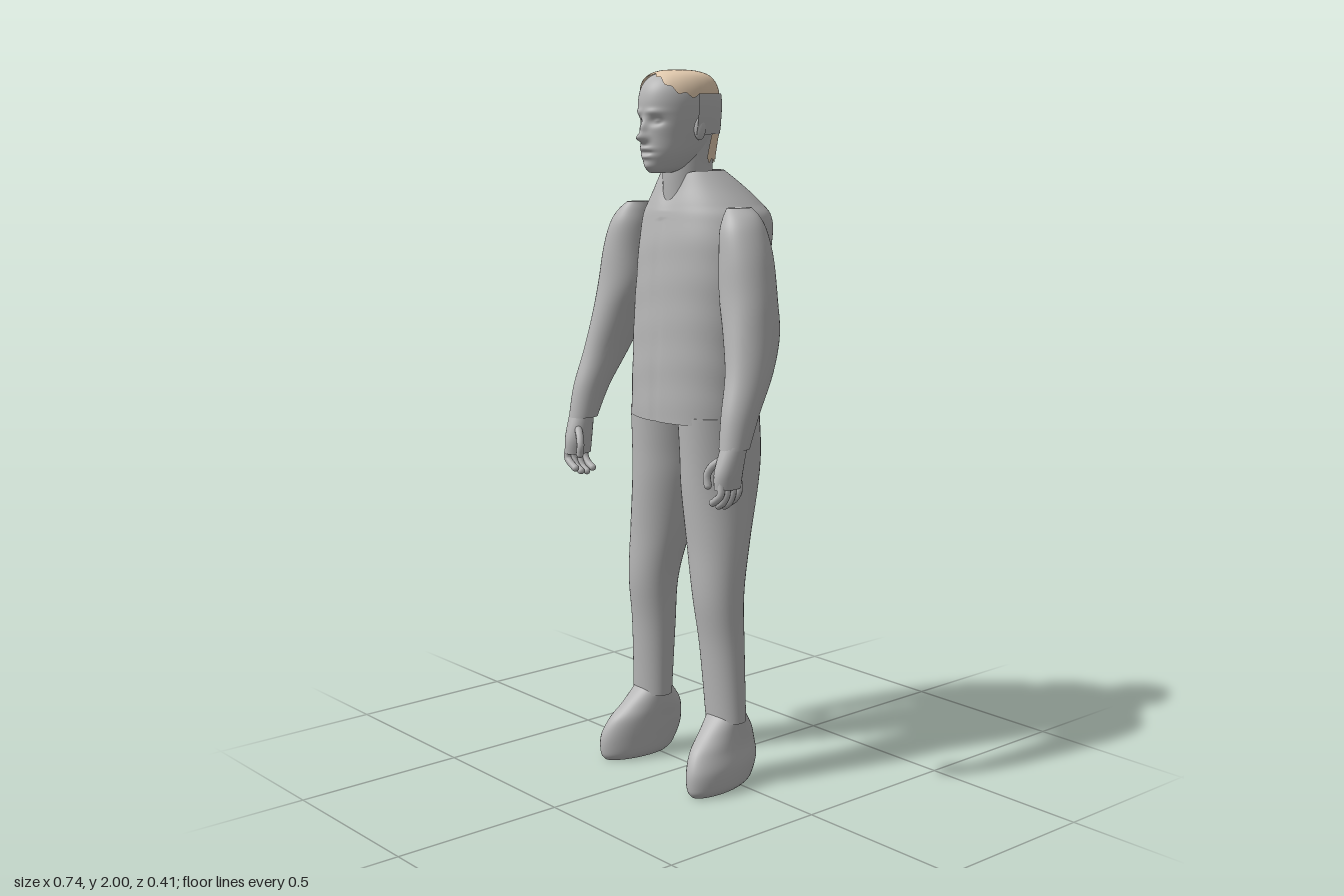
import * as THREE from 'three';

const grey = new THREE.MeshStandardMaterial({ color: 0xb6b6b6, side: THREE.DoubleSide });
grey.name = 'plain grey';
const tan = new THREE.MeshStandardMaterial({ color: 0xe2caae, side: THREE.DoubleSide });
tan.name = 'hair tan';

// Smooth sample of a ring table; u runs from 0 to rings.length - 1
function sample(rings, u) {
  const n = rings.length - 1;
  const i = Math.min(Math.floor(u), n - 1), t = u - i;
  const at = k => rings[Math.max(0, Math.min(n, k))];
  return rings[i].map((b, k) => {
    const a = at(i - 1)[k], c = at(i + 1)[k], d = at(i + 2)[k];
    return b + 0.5 * t * (c - a + t * (2 * a - 5 * b + 4 * c - d + t * (3 * (b - c) + d - a)));
  });
}

// Point on a body whose rings are [y, centre x, radius x, centre z, radius z]
function pointOn(rings, u, angle, side = 1, offset = 0, power = 1) {
  const [y, cx, rx, cz, rz] = sample(rings, u);
  const s = Math.sin(angle), c = Math.cos(angle);
  const bend = v => Math.sign(v) * Math.abs(v) ** power;
  return new THREE.Vector3(side * cx + (rx + offset) * bend(s), y, cz + (rz + offset) * bend(c));
}

function gridGeometry(pts, idx) {
  const g = new THREE.BufferGeometry().setFromPoints(pts);
  g.setIndex(idx);
  g.computeVertexNormals();
  return g;
}

// Closed body through rings given from bottom to top
function loft(rings, { rows = 40, segs = 40, side = 1, power = 1, tweak, capTop = true } = {}) {
  const pts = [], idx = [];
  for (let i = 0; i <= rows; i++) {
    for (let j = 0; j < segs; j++) {
      const p = pointOn(rings, i / rows * (rings.length - 1), j / segs * Math.PI * 2, side, 0, power);
      if (tweak) tweak(p);
      pts.push(p);
    }
  }
  for (let i = 0; i < rows; i++) {
    for (let j = 0; j < segs; j++) {
      const k = (j + 1) % segs, a = i * segs + j, b = i * segs + k;
      idx.push(a, b, b + segs, a, b + segs, a + segs);
    }
  }
  // separate cap vertices keep the rims crisp
  for (const top of capTop ? [false, true] : [false]) {
    const from = top ? rows * segs : 0, base = pts.length;
    const centre = new THREE.Vector3();
    for (let j = 0; j < segs; j++) {
      pts.push(pts[from + j].clone());
      centre.addScaledVector(pts[from + j], 1 / segs);
    }
    pts.push(centre);
    for (let j = 0; j < segs; j++) {
      const a = base + j, b = base + (j + 1) % segs;
      idx.push(base + segs, top ? a : b, top ? b : a);
    }
  }
  return gridGeometry(pts, idx);
}

// Thin layer lying over part of a body
function patch(rings, from, to, low, high, offset, lift = 0) {
  const rows = 16, segs = 96, pts = [], idx = [], w = segs + 1;
  for (let i = 0; i <= rows; i++) {
    for (let j = 0; j <= segs; j++) {
      const angle = from + (to - from) * j / segs, lo = low(angle);
      const p = pointOn(rings, lo + (high - lo) * i / rows, angle, 1, offset);
      p.y += lift;
      pts.push(p);
    }
  }
  for (let i = 0; i < rows; i++) {
    for (let j = 0; j < segs; j++) {
      const a = i * w + j;
      idx.push(a, a + 1, a + 1 + w, a, a + 1 + w, a + w);
    }
  }
  return gridGeometry(pts, idx);
}

const HEAD = [
  [1.725, .006, .025, .115, .035], [1.74, .006, .045, .09, .07], [1.775, .006, .064, .07, .103],
  [1.82, .006, .076, .055, .118], [1.87, .006, .084, .053, .122], [1.92, .006, .087, .053, .122],
  [1.955, .006, .081, .052, .112], [1.98, .006, .064, .052, .088], [1.992, .006, .035, .055, .05],
  [1.995, .006, .003, .055, .004]];
const NECK = [[1.64, .006, .062, .02, .07], [1.75, .006, .062, .02, .074], [1.84, .006, .07, .004, .07]];
const TORSO = [
  [1.04, 0, .204, -.01, .15], [1.2, .003, .206, -.015, .153], [1.4, .01, .208, -.025, .155],
  [1.52, .012, .206, -.038, .16], [1.6, .01, .195, -.048, .158], [1.64, .008, .17, -.04, .14],
  [1.69, .006, .13, -.02, .105], [1.73, .005, .095, 0, .074]];
const ARM = [
  [1.01, .329, .038, .135, .044], [1.1, .323, .045, .108, .057], [1.2, .309, .054, .065, .072],
  [1.3, .286, .066, .036, .084], [1.4, .263, .077, .027, .08], [1.5, .25, .07, .023, .077],
  [1.57, .236, .058, .021, .07], [1.61, .225, .043, .018, .056], [1.635, .212, .024, .015, .04]];
const LEG = [
  [.19, .163, .066, .013, .05], [.4, .151, .069, .018, .06], [.55, .142, .075, .025, .072],
  [.7, .125, .089, .01, .09], [.85, .108, .097, -.01, .117], [.95, .105, .099, -.015, .125],
  [1.06, .103, .1, -.01, .125]];
const SHOE = [
  [0, .022, .042, .065, .105], [.02, .022, .056, .06, .122], [.07, .02, .06, .048, .134],
  [.12, .012, .056, .036, .122], [.16, .008, .055, .02, .095], [.21, .006, .054, .012, .052]];
const PALM = [[.905, .327, .026, .157, .042], [.95, .328, .031, .154, .044], [1.02, .332, .034, .138, .037]];

// Facial relief: [x, y, depth, width, height], mirrored in x
const FACE = [
  [0, 1.818, .026, .013, .012], [0, 1.842, .014, .01, .02], [.034, 1.862, -.013, .017, .011],
  [.03, 1.888, .005, .025, .008], [0, 1.79, .006, .025, .006], [0, 1.779, -.007, .022, .005],
  [0, 1.768, .005, .02, .006], [0, 1.742, .008, .02, .012], [.034, 1.863, .006, .008, .005]];
function sculptFace(p) {
  if (p.z < .07) return;
  const x = Math.abs(p.x - .006), y = p.y;
  for (const [fx, fy, depth, w, h] of FACE) {
    p.z += depth * Math.exp(-(((x - fx) / w) ** 2) - ((y - fy) / h) ** 2);
  }
}

// Cloth creases and the dip at the front of the collar
function creaseVest(p) {
  const k = 1 + .007 * Math.sin(p.y * 38 + p.x * 21) * Math.sin(p.x * 31 - p.y * 17 + p.z * 23);
  p.x *= k;
  p.z *= k;
  if (p.z > 0) {
    if (p.y < 1.6) p.z -= .004 * Math.exp(-((p.x / .008) ** 2));
    if (p.y > 1.62) p.y -= .05 * Math.exp(-((p.x / .04) ** 2)) * (p.y - 1.62) / .11;
  }
}

export function createModel() {
  const model = new THREE.Group();
  model.name = 'standingMan';
  const add = (name, geometry, material = grey, parent = model) => {
    const mesh = new THREE.Mesh(geometry, material);
    mesh.name = name;
    parent.add(mesh);
    return mesh;
  };

  add('vest', loft(TORSO, { rows: 80, segs: 96, power: .93, tweak: creaseVest, capTop: false }));
  add('neck', loft(NECK));
  add('head', loft(HEAD, { rows: 120, segs: 128, tweak: sculptFace }));

  // Hair on the crown and nape, with a plain band round the back of the skull
  const hairline = a => 5.1 + 2 * Math.max(0, Math.cos(a)) ** 3 + .14 * Math.sin(a * 17);
  add('crownHair', patch(HEAD, 0, Math.PI * 2, hairline, 9, .004, .005), tan);
  add('napeHair', patch(NECK, 1.7, Math.PI * 2 - 1.7, a => 1.05 + .06 * Math.sin(a * 23), 2, .006), tan);
  add('backBand', patch(HEAD, 1.5, Math.PI * 2 - 1.5, () => 3.15, 5.4, .01));

  for (const side of [1, -1]) {
    const label = side > 0 ? 'left' : 'right';

    const ear = add(label + 'Ear', new THREE.SphereGeometry(1, 20, 14));
    ear.scale.set(.008, .03, .017);
    ear.position.set(.006 + side * .085, 1.842, .05);
    ear.rotation.y = -side * .3;

    add(label + 'Arm', loft(ARM, { side }));
    add(label + 'Leg', loft(LEG, { side }));

    // Shoe with the toe turned out
    const shoe = add(label + 'Shoe', loft(SHOE, { side }));
    shoe.position.x = side * .156;
    shoe.rotation.y = side * .12;

    // Hand with curled fingers
    const hand = new THREE.Group();
    hand.name = label + 'Hand';
    model.add(hand);
    add('palm', loft(PALM, { rows: 12, segs: 24, side }), grey, hand);
    const finger = (name, path, r) => {
      const pts = path.map(([x, y, z]) => new THREE.Vector3(side * x, y, z));
      add(name, new THREE.TubeGeometry(new THREE.CatmullRomCurve3(pts), 10, r, 10), grey, hand);
      add(name + 'Tip', new THREE.SphereGeometry(r, 10, 8), grey, hand).position.copy(pts.at(-1));
    };
    [.008, 0, .003, .014].forEach((lift, i) => {
      const z = .124 + i * .021;
      finger('finger' + (i + 1), [
        [.333, .925, z], [.336, .893, z + .002], [.322, .865 + lift, z + .002],
        [.302, .852 + lift, z]], .0105);
    });
    finger('thumb', [[.318, .985, .165], [.288, .96, .18], [.277, .935, .186], [.281, .91, .186]], .011);
  }
  return model;
}
